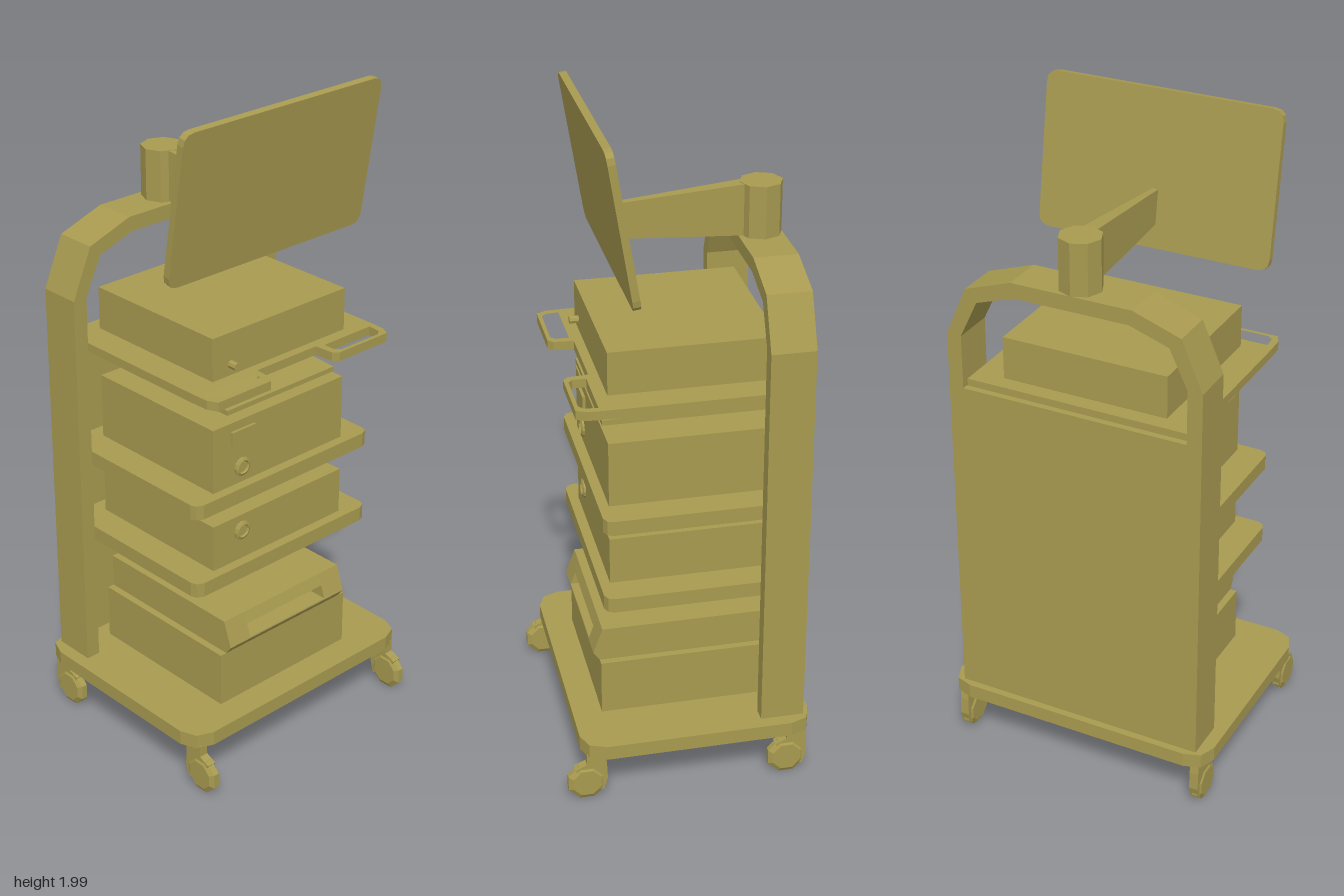
import * as THREE from 'three';

const mat = new THREE.MeshStandardMaterial({ color: 0xa89a50, flatShading: true });

function add(parent, name, geo, x = 0, y = 0, z = 0) {
  const m = new THREE.Mesh(geo, mat);
  m.name = name;
  m.position.set(x, y, z);
  parent.add(m);
  return m;
}

// Box given by its limits
function block(parent, name, x0, x1, y0, y1, z0, z1) {
  return add(parent, name, new THREE.BoxGeometry(x1 - x0, y1 - y0, z1 - z0),
    (x0 + x1) / 2, (y0 + y1) / 2, (z0 + z1) / 2);
}

const poly = pts => new THREE.Shape(pts.map(p => new THREE.Vector2(p[0], p[1])));
const mirrored = pts => [...pts, ...pts.map(([x, y]) => [-x, y]).reverse()];
const extrude = (shape, depth) =>
  new THREE.ExtrudeGeometry(shape, { depth, bevelEnabled: false, curveSegments: 3 });

// Horizontal plate from an [x, z] outline
function slab(parent, name, pts, y0, y1, holes = []) {
  const flip = list => list.map(([x, z]) => [x, -z]);
  const shape = poly(flip(pts));
  holes.forEach(h => shape.holes.push(poly(flip(h))));
  return add(parent, name, extrude(shape, y1 - y0).rotateX(-Math.PI / 2), 0, y0, 0);
}

// Side profile of [z, y] points extruded from x0 to x1
function profile(parent, name, pts, x0, x1) {
  return add(parent, name, extrude(poly(pts), x1 - x0).rotateY(-Math.PI / 2), x1, 0, 0);
}

function knob(parent, x, y, z, r) {
  const pts = [[0, 0], [r, 0], [r, 0.008], [r * 0.72, 0.012], [r * 0.6, 0.006], [0, 0.006]];
  const geo = new THREE.LatheGeometry(pts.map(p => new THREE.Vector2(...p)), 12);
  add(parent, 'knob', geo.rotateX(Math.PI / 2), x, y, z);
}

function caster(x, z) {
  const g = new THREE.Group();
  g.name = 'caster';
  // Bevelled eight-sided wheel
  const pts = [[0, -0.018], [0.045, -0.018], [0.06, -0.009], [0.06, 0.009], [0.045, 0.018], [0, 0.018]];
  const wheel = new THREE.LatheGeometry(pts.map(p => new THREE.Vector2(...p)), 8);
  add(g, 'wheel', wheel.rotateY(Math.PI / 8).rotateZ(Math.PI / 2), 0, 0.062, 0);
  // Swivel housing hugging the back of the wheel
  profile(g, 'casterFork', [[-0.055, 0.16], [0, 0.16], [0, 0.125], [0.035, 0.11],
    [0.02, 0.08], [-0.02, 0.04], [-0.05, 0.03], [-0.062, 0.07], [-0.06, 0.125]], -0.014, 0.014);
  g.position.set(x, 0, z);
  return g;
}

export function createModel() {
  const cart = new THREE.Group();
  cart.name = 'equipmentCart';

  // Base plate and casters
  slab(cart, 'basePlate', mirrored([[0.365, -0.372], [0.415, -0.355], [0.435, -0.305],
    [0.435, 0.255], [0.415, 0.305], [0.365, 0.325]]), 0.155, 0.2);
  for (const x of [-0.395, 0.395]) for (const z of [0.312, -0.298]) cart.add(caster(x, z));

  // Arched frame with back panel
  const arch = poly([...mirrored([[0.395, 0.2], [0.395, 1.4], [0.33, 1.55], [0.185, 1.6]]),
    ...mirrored([[0.35, 0.2], [0.35, 1.4], [0.295, 1.515], [0.175, 1.555]]).reverse()]);
  add(cart, 'archFrame', extrude(arch, 0.13), 0, 0, -0.35);
  block(cart, 'backPanel', -0.352, 0.352, 0.2, 1.235, -0.35, -0.33);

  // Two plain shelves
  for (const y of [0.605, 0.86]) {
    slab(cart, 'shelf', mirrored([[0.347, -0.33], [0.347, 0.21], [0.34, 0.228], [0.32, 0.237]]), y, y + 0.045);
  }

  // Top shelf with two cut-out handles
  const hole = [[0.14, 0.245], [0.125 + 0.015, 0.285], [0.155, 0.298], [0.305, 0.298], [0.322, 0.285], [0.325, 0.245]];
  slab(cart, 'topShelf', mirrored([[0.347, -0.33], [0.347, 0.225], [0.345, 0.28], [0.33, 0.31],
    [0.135, 0.31], [0.12, 0.295], [0.115, 0.235]]), 1.23, 1.257,
  [hole, hole.map(([x, z]) => [-x, z])]);

  // Wedge tray under the top shelf
  profile(cart, 'keyboardTray', [[-0.33, 1.14], [0.215, 1.14], [0.215, 1.155], [-0.22, 1.18], [-0.33, 1.186]], -0.21, 0.21);
  block(cart, 'trayMount', -0.197, 0.197, 1.16, 1.215, -0.33, -0.26);

  // Stacked devices
  const devices = [[0.65, 0.795], [0.905, 1.105], [1.257, 1.387]];
  for (const [y0, y1] of devices) block(cart, 'device', -0.257, 0.257, y0, y1, -0.28, 0.207);
  knob(cart, -0.147, 0.745, 0.205, 0.029);
  knob(cart, -0.147, 0.955, 0.205, 0.029);
  block(cart, 'display', -0.19, -0.1, 1.035, 1.078, 0.2, 0.216);
  add(cart, 'button', new THREE.CylinderGeometry(0.012, 0.012, 0.03, 8).rotateX(Math.PI / 2), -0.19, 1.291, 0.22);

  // Printer: lower box, sloped hood and a paper slot
  block(cart, 'printerBase', -0.257, 0.257, 0.2, 0.372, -0.28, 0.237);
  const foot = [[-0.28, 0.372], [0.237, 0.372], [0.256, 0.398]];
  const top = [[0.228, 0.477], [-0.28, 0.477]];
  for (const s of [-1, 1]) {
    profile(cart, 'printerHoodSide', [...foot, ...top], Math.min(s * 0.155, s * 0.235), Math.max(s * 0.155, s * 0.235));
  }
  profile(cart, 'printerHoodMiddle', [...foot, [0.255, 0.402], [0.19, 0.402], [0.19, 0.442],
    [0.241, 0.442], ...top], -0.155, 0.155);

  // Column and tapering monitor arm
  add(cart, 'column', new THREE.CylinderGeometry(0.063, 0.063, 0.157, 8), 0, 1.6765, -0.288);
  const arm = new THREE.BoxGeometry(1, 1, 1);
  const p = arm.attributes.position;
  for (let i = 0; i < p.count; i++) {
    const front = p.getZ(i) > 0, up = p.getY(i) > 0;
    const y = front ? (up ? 1.718 : 1.617) : (up ? 1.755 : 1.6);
    p.setXYZ(i, Math.sign(p.getX(i)) * (front ? 0.009 : 0.023), y, front ? (up ? 0.163 : 0.148) : -0.25);
  }
  add(cart, 'monitorArm', arm);

  // Tilted screen with rounded corners
  const w = 0.367, h = 0.229, r = 0.035;
  const s = new THREE.Shape();
  s.moveTo(-w + r, -h);
  s.lineTo(w - r, -h);
  s.quadraticCurveTo(w, -h, w, -h + r);
  s.lineTo(w, h - r);
  s.quadraticCurveTo(w, h, w - r, h);
  s.lineTo(-w + r, h);
  s.quadraticCurveTo(-w, h, -w, h - r);
  s.lineTo(-w, -h + r);
  s.quadraticCurveTo(-w, -h, -w + r, -h);
  const screen = add(cart, 'screen', extrude(s, 0.022).translate(0, 0, -0.011), 0, 1.772, 0.177);
  screen.rotation.x = 0.16;

  return cart;
}
